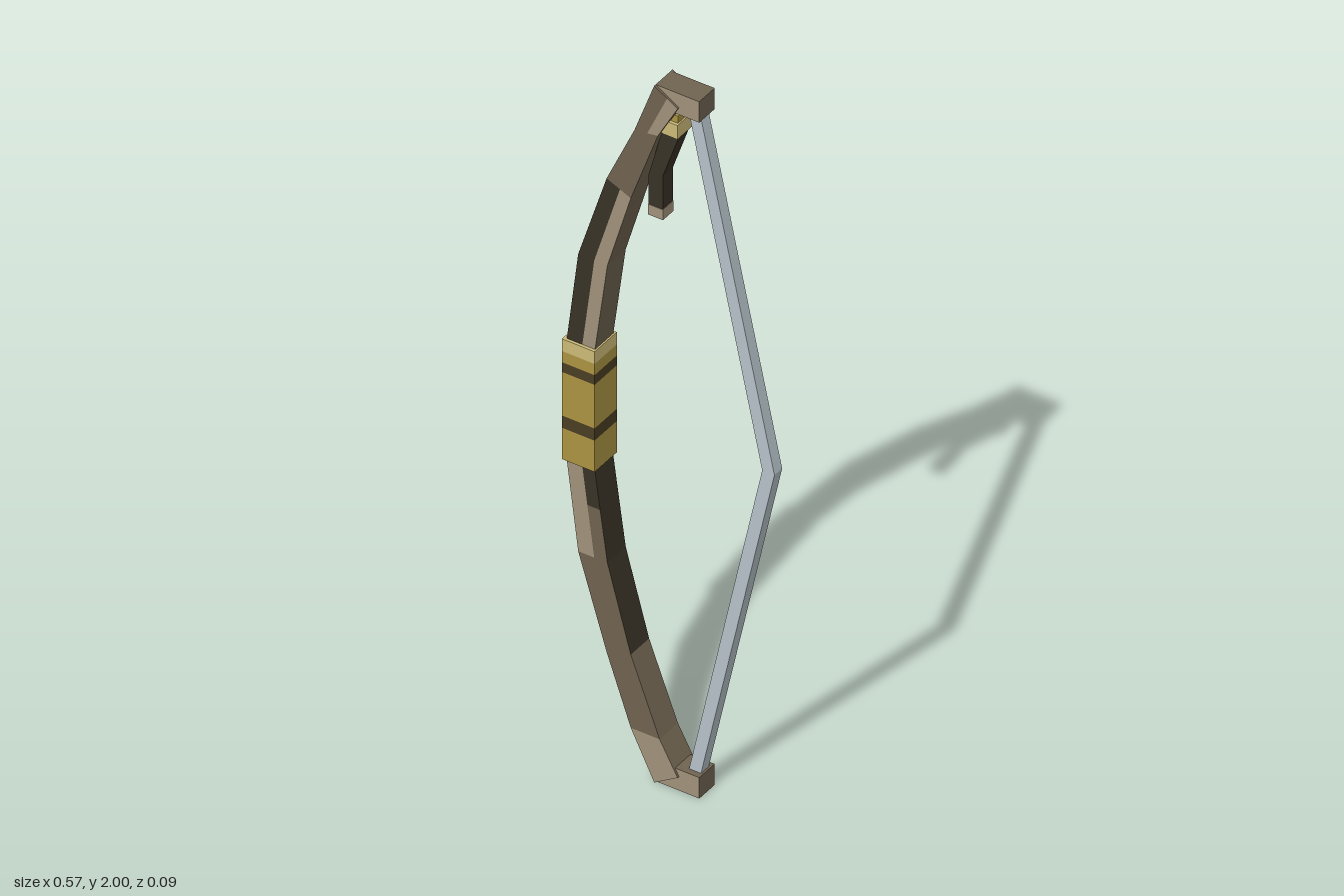
import * as THREE from 'three';

const mat = (name, color) => Object.assign(new THREE.MeshStandardMaterial({ color }), { name });

export function createModel() {
  const wood = mat('wood', 0x706350), dark = mat('darkWood', 0x383225), light = mat('paleWood', 0xa0917a);
  const gold = mat('goldWrap', 0xaa9342), pale = mat('paleGold', 0xcbba78), band = mat('wrapBand', 0x4a3d22);
  const cord = mat('cord', 0xb5c1c8);
  const bow = new THREE.Group();
  bow.name = 'bow';

  const add = (name, geometry, material) => {
    const mesh = new THREE.Mesh(geometry, material);
    mesh.name = name;
    bow.add(mesh);
    return mesh;
  };
  const box = (name, x0, x1, y0, y1, z, material) =>
    add(name, new THREE.BoxGeometry(x1 - x0, y1 - y0, 2 * z), material)
      .position.set((x0 + x1) / 2, (y0 + y1) / 2, 0);
  const plate = (name, points, z0, z1, material) => {
    const shape = new THREE.Shape(points.map(([x, y]) => new THREE.Vector2(x, y)));
    const geometry = new THREE.ExtrudeGeometry(shape, { depth: z1 - z0, bevelEnabled: false });
    geometry.translate(0, 0, z0);
    return add(name, geometry, material);
  };

  // Limbs: outer x, y, inner x, y; colours of the outer strip, inner strip, outer face and inner face
  const W = wood, D = dark, L = light;
  const rows = [
    [-0.035, 0.0, 0.03, 0.04, L, L, W, W],
    [-0.10, 0.13, -0.02, 0.13, W, W, W, W],
    [-0.167, 0.32, -0.10, 0.34, W, W, W, D],
    [-0.246, 0.577, -0.165, 0.577, L, W, W, D],
    [-0.264, 0.72, -0.185, 0.72, L, D, W, D],
    [-0.278, 0.83, -0.20, 0.83, W, W, W, W],
    [-0.278, 1.17, -0.20, 1.17, D, L, D, W],
    [-0.246, 1.43, -0.165, 1.43, D, L, D, W],
    [-0.167, 1.68, -0.10, 1.65, W, W, W, W],
    [-0.09, 1.85, -0.025, 1.86, W, L, W, W],
    [-0.035, 2.0, 0.03, 1.96],
  ];
  const half = 0.038;
  const faces = new Map([[wood, []], [dark, []], [light, []]]);
  const quad = (material, a, b, c, d) => faces.get(material).push(...a, ...b, ...c, ...a, ...c, ...d);
  const at = ([ox, oy, ix, iy], t, z) => [ox + (ix - ox) * t, oy + (iy - oy) * t, z];
  for (let i = 0; i < rows.length - 1; i++) {
    const p = rows[i], q = rows[i + 1];
    const [outerStrip, innerStrip, outerFace, innerFace] = p.slice(4);
    for (const [s, e, m] of [[0, 0.55, outerStrip], [0.55, 1, innerStrip]]) {
      quad(m, at(p, s, half), at(p, e, half), at(q, e, half), at(q, s, half));
      quad(m, at(p, e, -half), at(p, s, -half), at(q, s, -half), at(q, e, -half));
    }
    quad(outerFace, at(p, 0, -half), at(p, 0, half), at(q, 0, half), at(q, 0, -half));
    quad(innerFace, at(p, 1, half), at(p, 1, -half), at(q, 1, -half), at(q, 1, half));
  }
  const first = rows[0], last = rows[rows.length - 1];
  quad(wood, at(first, 0, -half), at(first, 1, -half), at(first, 1, half), at(first, 0, half));
  quad(wood, at(last, 0, half), at(last, 1, half), at(last, 1, -half), at(last, 0, -half));
  for (const [material, points] of faces) {
    const geometry = new THREE.BufferGeometry();
    geometry.setAttribute('position', new THREE.Float32BufferAttribute(points, 3));
    geometry.computeVertexNormals();
    add('limbs ' + material.name, geometry, material);
  }

  // Nocks at both ends, paler on front and back
  const nock = [wood, wood, wood, wood, light, light];
  box('lowerNock', -0.035, 0.086, 0, 0.06, 0.032, nock);
  box('upperNock', -0.035, 0.086, 1.94, 2, 0.032, nock);

  // Wrapped grip, built from stacked bands
  const bands = [[0.83, gold], [0.92, band], [0.955, gold], [1.08, band], [1.108, gold], [1.14, pale], [1.175]];
  for (let i = 0; i < bands.length - 1; i++)
    box('grip', -0.286, -0.195, bands[i][0], bands[i + 1][0], 0.046, bands[i][1]);

  // Drawn string
  plate('string', [[0.045, 0.05], [0.078, 0.05], [0.284, 1], [0.078, 1.95], [0.045, 1.95], [0.25, 1]],
    -0.016, 0.016, cord);

  // Charm hanging below the upper nock
  box('charmBinding', -0.02, 0.024, 1.865, 1.905, 0.03, pale);
  box('charmKnot', -0.025, 0.02, 1.895, 1.925, 0.022, gold);
  plate('charmStrap', [[-0.025, 1.87], [-0.065, 1.72], [-0.065, 1.635], [-0.026, 1.635], [-0.026, 1.73], [0.022, 1.87]],
    -0.026, 0.016, dark);
  plate('charmTip', [[-0.066, 1.605], [-0.025, 1.605], [-0.025, 1.635], [-0.066, 1.635]], -0.027, 0.017, light);

  return bow;
}
